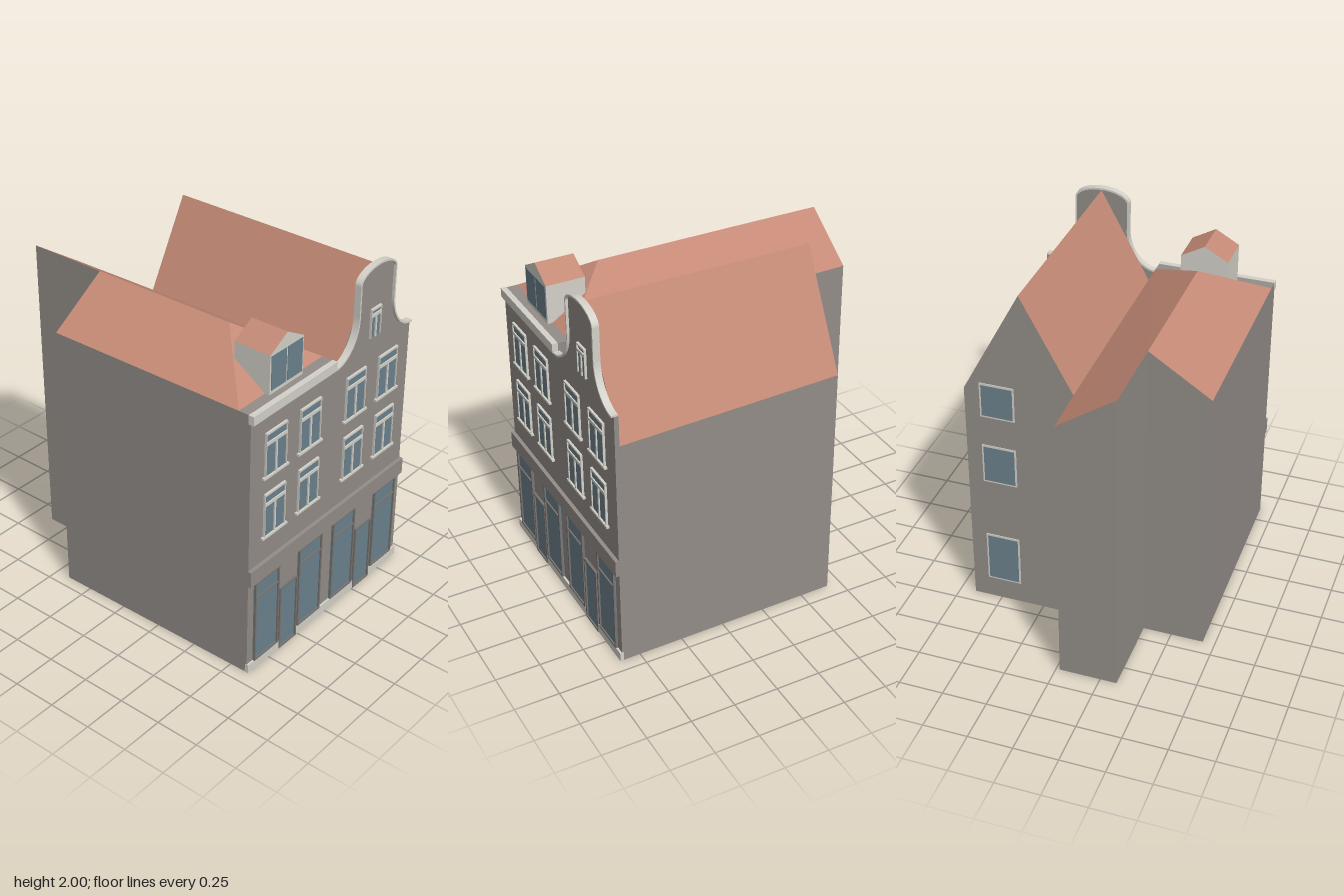
import * as THREE from 'three';

const mat = (name, color) => Object.assign(new THREE.MeshStandardMaterial({ color }), { name });

export function createModel() {
  const wall = mat('stone wall', 0x938d88);
  const light = mat('pale trim', 0xd3d1c9);
  const glass = mat('window glass', 0x6b828c);
  const roof = mat('roof tile', 0xc48a76);
  const frame = mat('dark frame', 0x77736f);

  const model = new THREE.Group();
  model.name = 'canalHouses';

  const add = (name, geo, material, parent = model) => {
    const mesh = new THREE.Mesh(geo, material);
    mesh.name = name;
    parent.add(mesh);
    return mesh;
  };
  const group = (name) => {
    const g = new THREE.Group();
    g.name = name;
    model.add(g);
    return g;
  };
  const box = (name, m, [x0, x1], [y0, y1], [z0, z1], parent) => {
    const mesh = add(name, new THREE.BoxGeometry(x1 - x0, y1 - y0, z1 - z0), m, parent);
    mesh.position.set((x0 + x1) / 2, (y0 + y1) / 2, (z0 + z1) / 2);
    return mesh;
  };

  // Solid between two matching outlines [x, y, z], counter-clockwise from the front.
  // mats: one material per outline edge, then front cap, then back cap.
  const loft = (name, front, back, mats) => {
    const pos = [];
    const geo = new THREE.BufferGeometry();
    const n = front.length;
    const face = (tris, index) => {
      geo.addGroup(pos.length / 3, tris.length, index);
      tris.forEach((p) => pos.push(...p));
    };
    for (let i = 0; i < n; i++) {
      const j = (i + 1) % n;
      face([front[i], back[i], back[j], front[i], back[j], front[j]], i);
    }
    const fan = (pts) => {
      const t = [];
      for (let i = 1; i < n - 1; i++) t.push(pts[0], pts[i], pts[i + 1]);
      return t;
    };
    face(fan(front), n);
    face(fan([...back].reverse()), n + 1);
    geo.setAttribute('position', new THREE.Float32BufferAttribute(pos, 3));
    geo.computeVertexNormals();
    return add(name, geo, mats);
  };
  const atZ = (pts, z) => pts.map(([x, y]) => [x, y, z]);

  // Right house: gabled body, slightly skewed at the back
  loft('rightHouseBody',
    atZ([[0, 0], [0.675, 0], [0.675, 1.35], [0.338, 1.99], [0, 1.37]], 0.83),
    atZ([[0, 0], [0.662, 0], [0.662, 1.38], [0.338, 1.99], [0, 1.37]], -0.42),
    [wall, wall, roof, roof, wall, wall, wall]);

  // Left house: walls, hipped roof and rear wing under one long ridge
  loft('leftHouseWalls',
    atZ([[-0.67, 0], [0, 0], [0, 1.58], [-0.67, 1.58]], 0.855),
    atZ([[-0.682, 0], [-0.012, 0], [-0.012, 1.58], [-0.682, 1.58]], -0.41),
    [wall, wall, wall, wall, wall, wall]);
  loft('leftHouseRoof',
    [[-0.67, 1.58, 0.78], [0, 1.58, 0.78], [-0.338, 1.8, 0.45]],
    [[-0.682, 1.58, -0.41], [-0.012, 1.58, -0.41], [-0.342, 1.8, -0.41]],
    [wall, roof, roof, roof, wall]);
  loft('rearWing',
    atZ([[-0.342, 0], [-0.012, 0], [-0.012, 1.58], [-0.342, 1.8]], -0.41),
    atZ([[-0.342, 0], [-0.02, 0], [-0.02, 1.58], [-0.342, 1.8]], -0.876),
    [wall, wall, roof, wall, wall, wall]);
  box('cornice', light, [-0.673, 0], [1.53, 1.582], [0.842, 0.874]);

  // Bell-shaped gable front with a pale coping
  const curve = new THREE.Path();
  curve.absellipse(0, 1.75, 0.18, 0.215, -Math.PI / 2, 0, false);
  curve.absellipse(0.3375, 1.925, 0.158, 0.075, Math.PI, 0, true);
  curve.absellipse(0.675, 1.75, 0.18, 0.215, Math.PI, Math.PI * 1.5, false);
  const outer = curve.getPoints(14);
  const inner = outer.map((p, i) => {
    const a = outer[Math.max(i - 1, 0)];
    const b = outer[Math.min(i + 1, outer.length - 1)];
    const t = b.clone().sub(a).normalize();
    return new THREE.Vector2(THREE.MathUtils.clamp(p.x + t.y * 0.01, 0, 0.675), p.y - t.x * 0.01);
  });
  const extrude = (pts, z0, z1) => new THREE.ExtrudeGeometry(new THREE.Shape(pts),
    { depth: z1 - z0, bevelEnabled: false }).translate(0, 0, z0);
  add('gableFront', extrude(
    [new THREE.Vector2(0, 0), ...inner, new THREE.Vector2(0.675, 0)], 0.83, 0.855), wall);
  add('gableCoping', extrude([...outer, ...[...inner].reverse()], 0.832, 0.87), light);

  // Sash window with lintel, transom, mullion and optional sill
  const sash = (x0, x1, y0, y1, sill) => {
    const g = group('sashWindow');
    const mid = (x0 + x1) / 2;
    const bar = y1 - (sill ? 0.07 : 0.045);
    const z = [0.85, 0.868];
    box('pane', glass, [x0, x1], [y0, y1], [0.85, 0.861], g);
    box('lintel', light, [x0 - 0.004, x1 + 0.004], [y1 - 0.008, y1 + 0.003], z, g);
    box('transom', light, [x0, x1], [bar, bar + 0.018], z, g);
    box('mullion', light, [mid - 0.006, mid + 0.006], [y0, bar], z, g);
    for (const x of [x0 - 0.004, x1]) box('jamb', light, [x, x + 0.004], [y0, y1], z, g);
    if (sill) box('sill', light, [x0 - 0.02, x1 + 0.02], [y0 - 0.008, y0 + 0.004], [0.85, 0.872], g);
  };
  for (const [y0, y1] of [[0.81, 1.065], [1.172, 1.425]])
    for (const x of [-0.555, -0.275, 0.113, 0.398]) sash(x, x + 0.16, y0, y1, true);
  sash(0.298, 0.378, 1.58, 1.745, false);

  // Framed shop windows and doors
  const framed = (name, x0, x1, y0, y1, bar) => {
    const g = group(name);
    const w = 0.01;
    const z = [0.85, 0.87];
    box('pane', glass, [x0, x1], [y0, y1], [0.85, 0.861], g);
    for (const x of [x0, x1 - w]) box('sideFrame', frame, [x, x + w], [y0, y1], z, g);
    for (const y of [y0, y1 - w]) box('crossFrame', frame, [x0 + w, x1 - w], [y, y + w], z, g);
    if (bar) box('transom', frame, [x0 + w, x1 - w], [bar, bar + 0.007], z, g);
  };
  for (const x of [-0.622, -0.252, 0.046, 0.428]) framed('shopWindow', x, x + 0.2, 0.052, 0.56, 0.455);
  for (const x of [-0.412, 0.26]) framed('door', x, x + 0.15, 0, 0.4);

  // Fascia above the shops and plinth between the doors
  box('fascia', wall, [-0.674, 0.678], [0.565, 0.66], [0.85, 0.876]);
  for (const [a, b] of [[-0.672, -0.412], [-0.262, 0.26], [0.41, 0.677]])
    box('plinth', light, [a, b], [0, 0.052], [0.845, 0.867]);

  // Dormer
  const dormer = [[-0.468, 1.575], [-0.203, 1.575], [-0.203, 1.8], [-0.335, 1.875], [-0.468, 1.8]];
  loft('dormer', atZ(dormer, 0.807), atZ(dormer, 0.588),
    [light, light, roof, roof, light, light, light]);
  for (const x of [-0.458, -0.33]) box('dormerPane', glass, [x, x + 0.118], [1.602, 1.792], [0.803, 0.81]);

  // Rear windows
  for (const [y0, y1] of [[0.13, 0.44], [0.8, 1.04], [1.22, 1.43]]) {
    const g = group('rearWindow');
    box('rearFrame', light, [0.38, 0.575], [y0, y1], [-0.424, -0.415], g);
    box('rearPane', glass, [0.39, 0.565], [y0 + 0.01, y1 - 0.012], [-0.426, -0.416], g);
  }
  return model;
}
